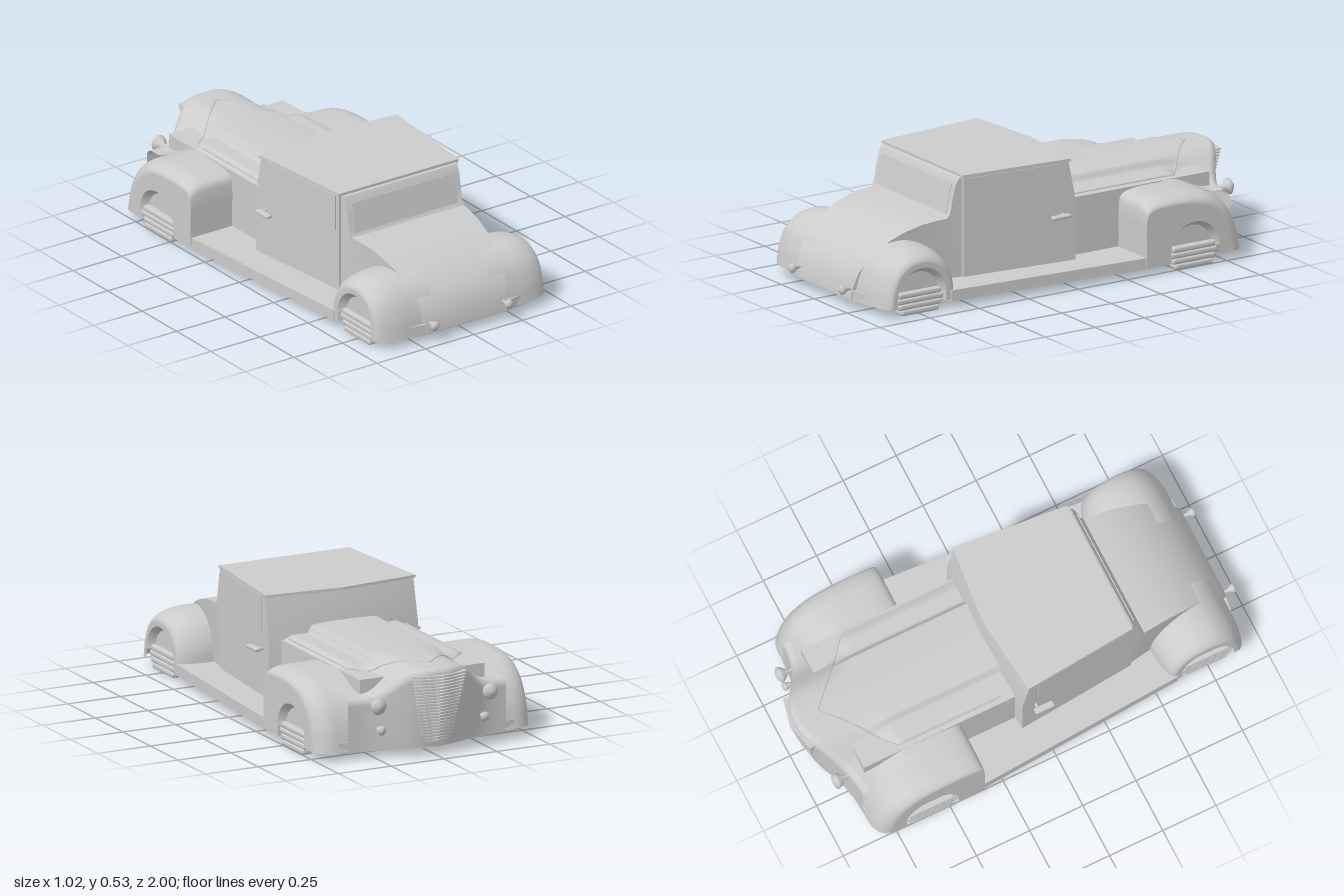
import * as THREE from 'three';
import { toCreasedNormals } from 'three/addons/utils/BufferGeometryUtils.js';
import { RoundedBoxGeometry } from 'three/addons/geometries/RoundedBoxGeometry.js';
import { ParametricGeometry } from 'three/addons/geometries/ParametricGeometry.js';

const mat = new THREE.MeshStandardMaterial({ color: 0xcccccc, side: THREE.DoubleSide });
const V2 = (p) => new THREE.Vector2(p[0], p[1]);
const { smoothstep, lerp } = THREE.MathUtils;

function add(parent, name, geo, x = 0, y = 0, z = 0) {
  const m = new THREE.Mesh(geo, mat);
  m.name = name;
  m.position.set(x, y, z);
  parent.add(m);
  return m;
}

// Side profile of [z, y] points, extruded across x and narrowed by halfWidth(z)
function sideSlab(points, halfWidth, bend = () => 0) {
  const geo = new THREE.ExtrudeGeometry(new THREE.Shape(points.map(V2)), { depth: 2, steps: 2, bevelEnabled: false });
  geo.translate(0, 0, -1).rotateY(-Math.PI / 2);
  const p = geo.attributes.position;
  for (let i = 0; i < p.count; i++) {
    const x = p.getX(i), y = p.getY(i), z = p.getZ(i);
    p.setXYZ(i, x * halfWidth(z), y, z + bend(x, y, z));
  }
  return toCreasedNormals(geo, 0.5);
}

// Plan outline of [x, z] points, extruded downward from y = top
function planSlab(points, top, depth) {
  const geo = new THREE.ExtrudeGeometry(new THREE.Shape(points.map(V2)), { depth, bevelEnabled: false });
  return geo.rotateX(Math.PI / 2).translate(0, top, 0);
}
const mirrored = (half) => [...half, ...half.slice().reverse().map(([x, z]) => [-x, z])];

// Height of the stepped hood, blending into the rounded nose
function hoodHeight(x, z) {
  const a = Math.abs(x);
  const hood = 0.39 - 0.01 * (a / 0.17) ** 2 * (a < 0.17 ? 1 : (0.17 / a) ** 2)
    - 0.03 * smoothstep(a, 0.15, 0.18) - 0.02 * smoothstep(a, 0.24, 0.3);
  const nose = 0.27 + 0.12 * Math.exp(-((a / 0.2) ** 4));
  return lerp(hood, nose, smoothstep(-z, 0.6, 0.78));
}

// Hood top that rolls over into the pointed front face
function hoodPoint(u, v, target) {
  const t = Math.min(v / 0.6, 1), s = u * 2 - 1;
  const x = s * (0.295 + 0.08 * smoothstep(t, 0.6, 0.85));
  const bulge = Math.exp(-((Math.abs(x) / 0.2) ** 2.5));
  const zf = -0.845 - 0.14 * bulge, r = 0.035;
  const h = hoodHeight(x, lerp(-0.08, zf + r, t));
  let y = h, z = lerp(-0.08, zf + r, t);
  if (v > 0.6) {
    const a = Math.min((v - 0.6) / 0.15, 1) * Math.PI / 2;
    y = h - r + r * Math.cos(a);
    z = zf + r - r * Math.sin(a);
    if (v > 0.75) y = lerp(h - r, 0.04, (v - 0.75) / 0.25);
    z += 0.06 * bulge * (1 - y / h);
  }
  target.set(x, y, z);
}

// Fender: side profile swept outward, shrinking along a quarter ellipse, with a wheel arch
function makeFender({ name, profile, pivot, inner, outer, round, shrink, wheelZ, wheelX, wheelW }) {
  const g = new THREE.Group();
  g.name = name;
  const curve = new THREE.SplineCurve(profile.map(V2));
  const at = (t, k) => {
    const p = curve.getPoint(t);
    return [pivot + (p.x - pivot) * k, 0.04 + (p.y - 0.04) * k];
  };
  add(g, 'fenderShell', new ParametricGeometry((u, v, target) => {
    const a = Math.max(0, (v - 0.2) / 0.8) * Math.PI / 2;
    const k = 1 - shrink * (1 - Math.cos(a));
    const x = v < 0.2 ? lerp(inner, outer - round, v / 0.2) : outer - round + round * Math.sin(a);
    const [z, y] = at(u, k);
    target.set(x, y, z);
  }, 48, 20));

  // Flat outer face with the arch cut from its lower edge
  const R = 0.122, face = [];
  for (let i = 0; i <= 48; i++) face.push(at(i / 48, 1 - shrink));
  const dir = Math.sign(face[0][0] - face[48][0]);
  face.push([wheelZ - dir * R, 0.04]);
  for (let i = 0; i <= 24; i++) {
    const a = Math.PI * i / 24;
    face.push([wheelZ - dir * R * Math.cos(a), 0.08 + R * Math.sin(a)]);
  }
  face.push([wheelZ + dir * R, 0.04]);
  add(g, 'fenderFace', new THREE.ShapeGeometry(new THREE.Shape(face.map(V2))).rotateY(-Math.PI / 2), outer);

  // Tapered arch lip and the disc behind it
  add(g, 'archLip', new ParametricGeometry((u, v, target) => {
    const a = Math.PI * u, r = lerp(R, 0.1, v);
    target.set(outer - 0.03 * v, 0.08 + r * Math.sin(a), wheelZ + r * Math.cos(a));
  }, 32, 3));
  add(g, 'wheelDisc', new THREE.CircleGeometry(0.102, 32, 0, Math.PI).rotateY(Math.PI / 2), outer - 0.03, 0.078, wheelZ);

  // Ribbed lower part of the wheel
  [0.19, 0.215, 0.235, 0.215].forEach((len, i) =>
    add(g, 'tireRib', new RoundedBoxGeometry(wheelW, 0.026, len, 3, 0.01), wheelX, 0.013 + i * 0.025, wheelZ));
  return g;
}

function makeLamp(name, r, length) {
  const pts = [[0, 0], [r * 0.6, r * 0.15], [r, r * 0.5], [r * 0.9, r * 0.9], [r * 0.35, length * 0.65], [r * 0.3, length]];
  const geo = new THREE.LatheGeometry(pts.map(V2), 24).rotateX(Math.PI / 2);
  const m = new THREE.Mesh(geo, mat);
  m.name = name;
  return m;
}

export function createModel() {
  const car = new THREE.Group();
  car.name = 'car';

  // Floor pan with running boards, notched at the wheels
  add(car, 'floorPan', planSlab(mirrored([
    [0.2, 0.945], [0.32, 0.925], [0.38, 0.88], [0.38, 0.62], [0.44, 0.6], [0.505, -0.34], [0.505, -0.46],
    [0.47, -0.46], [0.47, -0.71], [0.46, -0.8], [0.42, -0.84], [0.3, -0.85], [0.15, -0.88], [0.01, -0.92],
  ]), 0.08, 0.048));

  // Hood, nose and the body sides beneath
  add(car, 'hoodAndNose', new ParametricGeometry(hoodPoint, 90, 70));
  add(car, 'hoodSides', new THREE.BoxGeometry(0.59, 0.29, 0.72), 0, 0.187, -0.44);
  const outline = [[0.27, -0.1], [0.27, -0.63], [0.15, -0.73], [0, -0.87], [-0.15, -0.73], [-0.27, -0.63], [-0.27, -0.1]];
  const seam = [];
  for (let i = 0; i < 6; i++) for (let k = 0; k < 12; k++) {
    const x = lerp(outline[i][0], outline[i + 1][0], k / 12), z = lerp(outline[i][1], outline[i + 1][1], k / 12);
    seam.push(new THREE.Vector3(x, hoodHeight(x, z), z));
  }
  add(car, 'hoodSeam', new THREE.TubeGeometry(new THREE.CatmullRomCurve3(seam), 120, 0.004, 6));

  // Cabin, tapering rearward, with a slightly pointed windshield
  const cabinWidth = (z) => 0.305 + (0.45 - z) * 0.09;
  add(car, 'cabin', sideSlab([[0.45, 0.04], [0.45, 0.52], [-0.05, 0.52], [-0.085, 0.34], [-0.085, 0.04]], cabinWidth,
    (x, y, z) => (z < 0 ? -0.03 * (1 - Math.abs(x)) : 0)));
  add(car, 'roof', planSlab(mirrored([[0.308, 0.455], [0.355, -0.06], [0.001, -0.095]]), 0.527, 0.012));

  // Trunk and rear window
  add(car, 'trunk', sideSlab([
    [0.42, 0.04], [0.95, 0.04], [0.945, 0.09], [0.925, 0.15], [0.89, 0.2], [0.84, 0.245], [0.78, 0.283], [0.71, 0.312],
    [0.64, 0.331], [0.57, 0.34], [0.52, 0.343], [0.508, 0.36], [0.495, 0.42], [0.482, 0.48], [0.465, 0.512], [0.44, 0.52], [0.42, 0.52],
  ], (z) => 0.205 + 0.09 * Math.pow(Math.max(0, (0.95 - z) / 0.5), 0.6)));
  const rear = add(car, 'rearWindow', new THREE.BoxGeometry(0.53, 0.13, 0.006), 0, 0.42, 0.495);
  rear.rotation.x = -0.21;

  const frontFender = {
    name: 'frontFender', pivot: -0.34, inner: 0.27, outer: 0.51, round: 0.09, shrink: 0.14, wheelZ: -0.585, wheelX: 0.48, wheelW: 0.05,
    profile: [[-0.34, 0.04], [-0.34, 0.15], [-0.34, 0.25], [-0.355, 0.305], [-0.42, 0.325], [-0.52, 0.327],
      [-0.6, 0.322], [-0.69, 0.3], [-0.77, 0.24], [-0.82, 0.15], [-0.845, 0.04]],
  };
  const rearFender = {
    name: 'rearFender', pivot: 0.745, inner: 0.15, outer: 0.435, round: 0.14, shrink: 0.24, wheelZ: 0.745, wheelX: 0.398, wheelW: 0.055,
    profile: [[0.55, 0.04], [0.56, 0.14], [0.6, 0.215], [0.66, 0.26], [0.74, 0.277], [0.82, 0.262], [0.885, 0.21], [0.92, 0.13], [0.935, 0.04]],
  };

  // Parts repeated on both sides
  for (const side of [1, -1]) {
    const half = new THREE.Group();
    half.name = side > 0 ? 'leftSide' : 'rightSide';
    half.scale.x = side;
    half.add(makeFender(frontFender), makeFender(rearFender));
    // Close the flat back of the front fender
    add(half, 'fenderBack', new THREE.PlaneGeometry(0.22, 0.21), 0.39, 0.145, -0.341);

    const win = add(half, 'sideWindow', new THREE.BoxGeometry(0.006, 0.16, 0.44), cabinWidth(0.21), 0.43, 0.21);
    win.rotation.y = -Math.atan(0.09);

    const handle = new THREE.Group();
    handle.name = 'doorHandle';
    add(handle, 'grip', new RoundedBoxGeometry(0.03, 0.016, 0.09, 3, 0.007), 0.378, 0.287, 0.005);
    add(handle, 'stem', new THREE.CylinderGeometry(0.007, 0.007, 0.05, 12).rotateZ(Math.PI / 2), 0.35, 0.287, -0.02);
    half.add(handle);

    const head = makeLamp('headlight', 0.035, 0.08);
    head.position.set(0.265, 0.24, -0.935);
    const fog = makeLamp('fogLight', 0.021, 0.06);
    fog.position.set(0.245, 0.13, -0.915);
    const tail = makeLamp('tailLight', 0.021, 0.06);
    tail.rotation.y = Math.PI;
    tail.position.set(0.19, 0.085, 1.0);
    half.add(head, fog, tail);
    car.add(half);
  }

  // Grille of pointed horizontal fins, narrowing downward
  const grille = new THREE.Group();
  grille.name = 'grille';
  for (let i = 0; i < 22; i++) {
    const t = i / 21, w = lerp(0.07, 0.125, t), d = w * 0.24;
    const fin = planSlab([[-w, d], [0, 0], [w, d], [w, d + 0.035], [0, 0.035], [-w, d + 0.035]], 0, 0.007);
    add(grille, 'grilleFin', fin, 0, lerp(0.07, 0.362, t), lerp(-0.945, -1.0, t));
  }
  car.add(grille);
  return car;
}
